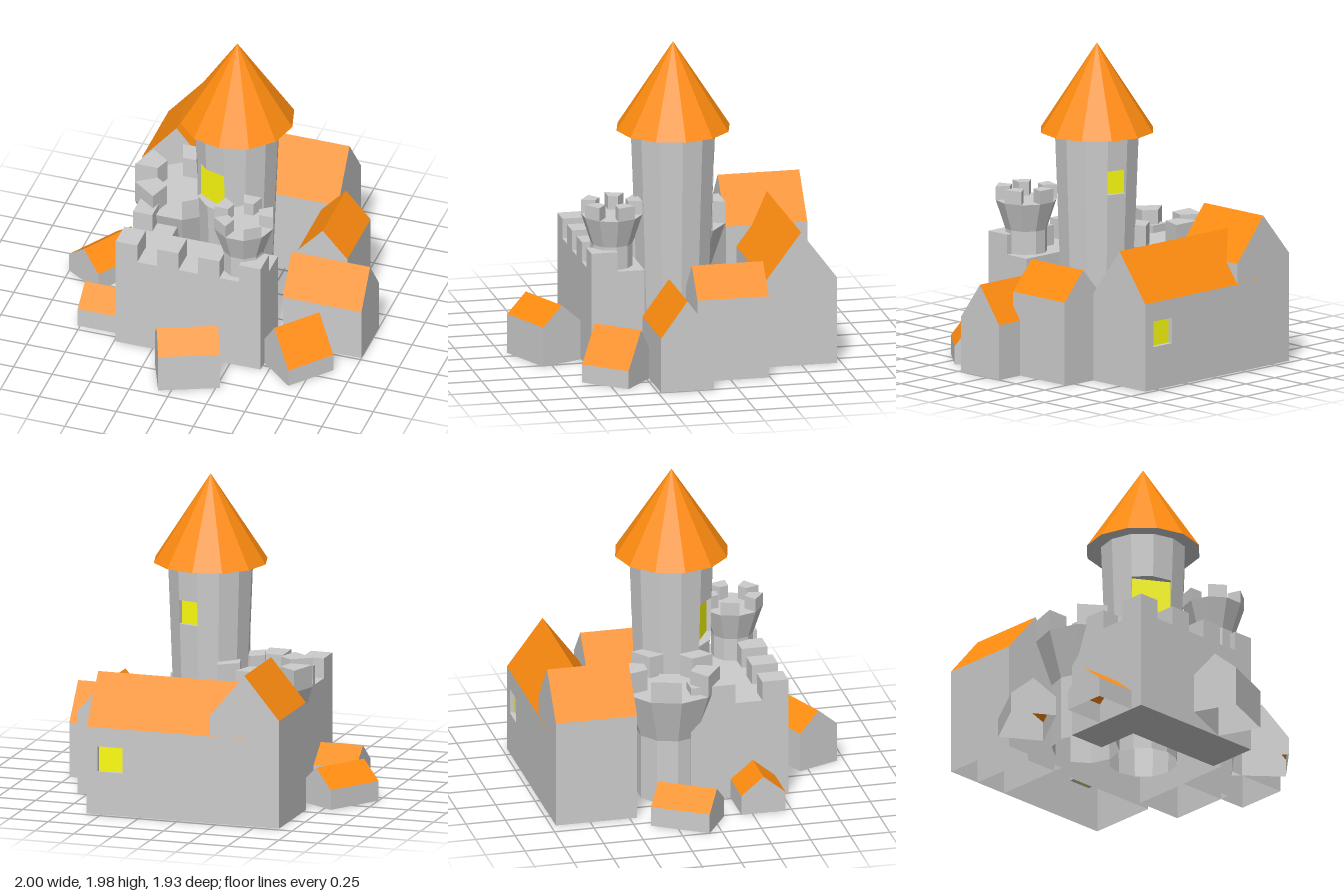
import * as THREE from 'three';

const mat = (color) => new THREE.MeshStandardMaterial({ color, flatShading: true, side: THREE.DoubleSide });
const stone = mat(0xcccccc);
const tile = mat(0xff8c10);
const glass = mat(0xffff10);

function add(parent, geometry, material, name) {
  const mesh = new THREE.Mesh(geometry, material);
  mesh.name = name;
  parent.add(mesh);
  return mesh;
}

// Flat surface made of convex polygons, each a list of [x, y, z] corners
function polygons(list) {
  const pos = [];
  for (const p of list)
    for (let i = 1; i < p.length - 1; i++) pos.push(...p[0], ...p[i], ...p[i + 1]);
  const g = new THREE.BufferGeometry();
  g.setAttribute('position', new THREE.Float32BufferAttribute(pos, 3));
  g.computeVertexNormals();
  return g;
}

// Recessed window facing +z; bulge carries sill and lintel out to a corner of the wall
function recessedWindow(w, h, d, bulge = 0) {
  const g = new THREE.Group();
  g.name = 'window';
  const a = w / 2, b = h / 2;
  const ledge = (y) => [[-a, y, -d], [a, y, -d], [a, y, 0], [0, y, bulge], [-a, y, 0]];
  const jamb = (x) => [[x, -b, -d], [x, b, -d], [x, b, 0], [x, -b, 0]];
  add(g, polygons([ledge(-b), ledge(b), jamb(-a), jamb(a)]), stone, 'windowReveal');
  add(g, new THREE.PlaneGeometry(w, h), glass, 'windowPane').position.z = -d;
  return g;
}

// Gabled house, ridge along local x; hole = [x, y, w, h] opens the -z wall
function house(name, x, z, length, width, eave, ridge, turn = 0, hole = null) {
  const g = new THREE.Group();
  g.name = name;
  const l = length / 2, w = width / 2;
  const gable = (x) => [[x, 0, w], [x, 0, -w], [x, eave, -w], [x, ridge, 0], [x, eave, w]];
  const wall = (z) => [[-l, 0, z], [l, 0, z], [l, eave, z], [-l, eave, z]];
  const slope = (z) => [[-l, eave, z], [l, eave, z], [l, ridge, 0], [-l, ridge, 0]];
  const walls = [gable(l), gable(-l).reverse(), wall(w)];
  if (hole) {
    const [hx, hy, hw, hh] = hole;
    const shape = new THREE.Shape([[-l, 0], [l, 0], [l, eave], [-l, eave]].map((p) => new THREE.Vector2(...p)));
    shape.holes.push(new THREE.Path([[-1, -1], [-1, 1], [1, 1], [1, -1]]
      .map(([i, j]) => new THREE.Vector2(-hx + i * hw / 2, hy + j * hh / 2))));
    const back = add(g, new THREE.ShapeGeometry(shape), stone, 'piercedWall');
    back.rotation.y = Math.PI;
    back.position.z = -w;
    const win = recessedWindow(hw, hh, 0.03);
    win.rotation.y = Math.PI;
    win.position.set(hx, hy, -w);
    g.add(win);
  } else walls.push(wall(-w).reverse());
  add(g, polygons(walls), stone, 'houseWalls');
  add(g, polygons([slope(w), slope(-w).reverse()]), tile, 'houseRoof');
  g.position.set(x, 0, z);
  g.rotation.y = turn;
  return g;
}

// Ten-sided turret flaring to a crenellated top; s scales the head
function turret(name, x, z, base, top, s) {
  const g = new THREE.Group();
  g.name = name;
  const floor = top - 0.085 * s, R = 0.19 * s, r = 0.13 * s, inner = 0.1 * s;
  const profile = [[r, base], [r, floor - 0.18 * s], [R, floor], [0, floor]];
  const body = new THREE.LatheGeometry(profile.map((p) => new THREE.Vector2(...p)), 10, Math.PI / 10);
  add(g, body, stone, 'turretWall');
  const at = (rad, a) => new THREE.Vector2(rad * Math.sin(a), -rad * Math.cos(a));
  for (let i = 0; i < 5; i++) {
    const a = Math.PI / 10 + i * Math.PI * 0.4, b = a + Math.PI / 5;
    const shape = new THREE.Shape([at(R, a), at(R, b), at(inner, b), at(inner, a)]);
    const geo = new THREE.ExtrudeGeometry(shape, { depth: top - floor, bevelEnabled: false });
    const merlon = add(g, geo, stone, 'turretMerlon');
    merlon.rotation.x = -Math.PI / 2;
    merlon.position.y = floor;
  }
  g.position.set(x, 0, z);
  return g;
}

// Twelve-sided great tower with window openings left in its facets
function greatTower() {
  const g = new THREE.Group();
  g.name = 'greatTower';
  const H = 1.43, radius = (y) => 0.212 + 0.055 * y / H;
  const openings = { 10: [0.87, 1.15], 11: [0.87, 1.15], 5: [1.07, 1.22] };
  const point = (i, y) => [radius(y) * Math.sin(i * Math.PI / 6), y, radius(y) * Math.cos(i * Math.PI / 6)];
  const faces = [];
  for (let i = 0; i < 12; i++) {
    const o = openings[i];
    for (const [a, b] of o ? [[0, o[0]], [o[1], H]] : [[0, H]])
      faces.push([point(i, a), point(i + 1, a), point(i + 1, b), point(i, b)]);
  }
  add(g, polygons(faces), stone, 'towerWall');

  // Each window sits on the chord of the facets it replaces
  for (const [turn, span, low, high] of [[-Math.PI / 6, 2, 0.87, 1.15], [Math.PI * 11 / 12, 1, 1.07, 1.22]]) {
    const y = (low + high) / 2, half = span * Math.PI / 12, r = radius(y);
    const chord = r * Math.cos(half);
    const win = recessedWindow(2 * r * Math.sin(half), high - low, 0.028, span === 2 ? r - chord : 0);
    win.position.set(chord * Math.sin(turn), y, chord * Math.cos(turn));
    win.rotation.y = turn;
    g.add(win);
  }

  // Pointed roof with a stone soffit
  add(g, new THREE.ConeGeometry(0.357, 0.55, 12, 1, true), tile, 'towerRoof').position.y = H + 0.275;
  const soffit = add(g, new THREE.CircleGeometry(0.357, 12), stone, 'roofSoffit');
  soffit.rotation.x = Math.PI / 2;
  soffit.position.y = H;
  g.position.set(0.1, 0, -0.05);
  return g;
}

function block(parent, name, x0, x1, y0, y1, z0, z1) {
  const m = add(parent, new THREE.BoxGeometry(x1 - x0, y1 - y0, z1 - z0), stone, name);
  m.position.set((x0 + x1) / 2, (y0 + y1) / 2, (z0 + z1) / 2);
}

export function createModel() {
  const castle = new THREE.Group();
  castle.name = 'castle';

  // Battlemented keep and side walkway
  const keep = new THREE.Group();
  keep.name = 'keep';
  block(keep, 'keepBlock', -0.49, 0.45, 0, 0.63, 0.21, 0.545);
  block(keep, 'walkway', -0.49, -0.235, 0, 0.63, -0.07, 0.21);
  block(keep, 'sideMerlon', -0.49, -0.365, 0.63, 0.755, -0.07, 0.21);
  for (let i = 0; i < 4; i++) {
    const x = -0.49 + i * 0.2667;
    block(keep, 'frontMerlon', x, x + 0.14, 0.63, 0.755, 0.38, 0.545);
  }
  castle.add(keep);

  // Towers
  castle.add(
    greatTower(),
    turret('cornerTurret', 0.285, 0.38, 0.6, 1.04, 1),
    turret('sideTurret', -0.29, -0.155, 0, 0.845, 1.62),
  );

  // Great hall with its cross wing, then the village houses
  castle.add(
    house('greatHall', 0.0825, -0.745, 1.025, 0.45, 0.55, 0.85, 0, [0.36, 0.35, 0.16, 0.16]),
    house('crossWing', -0.43, -0.711, 0.515, 0.45, 0.68, 0.95, Math.PI / 2),
    house('rearHouse', 0.657, -0.265, 0.45, 0.32, 0.52, 0.7, Math.PI / 2),
    house('eastHouse', 0.745, 0.065, 0.51, 0.335, 0.345, 0.575),
    house('cornerCottage', 0.645, 0.423, 0.323, 0.334, 0.115, 0.335, Math.atan2(0.245, 0.21)),
    house('frontCottage', 0.045, 0.753, 0.38, 0.282, 0.25, 0.37, Math.atan2(0.145, 0.35)),
    house('westCottage', -0.615, 0.32, 0.3, 0.28, 0.125, 0.24),
    house('outerCottage', -0.78, -0.165, 0.38, 0.283, 0.125, 0.24, Math.atan2(0.32, 0.2)),
  );
  return castle;
}
